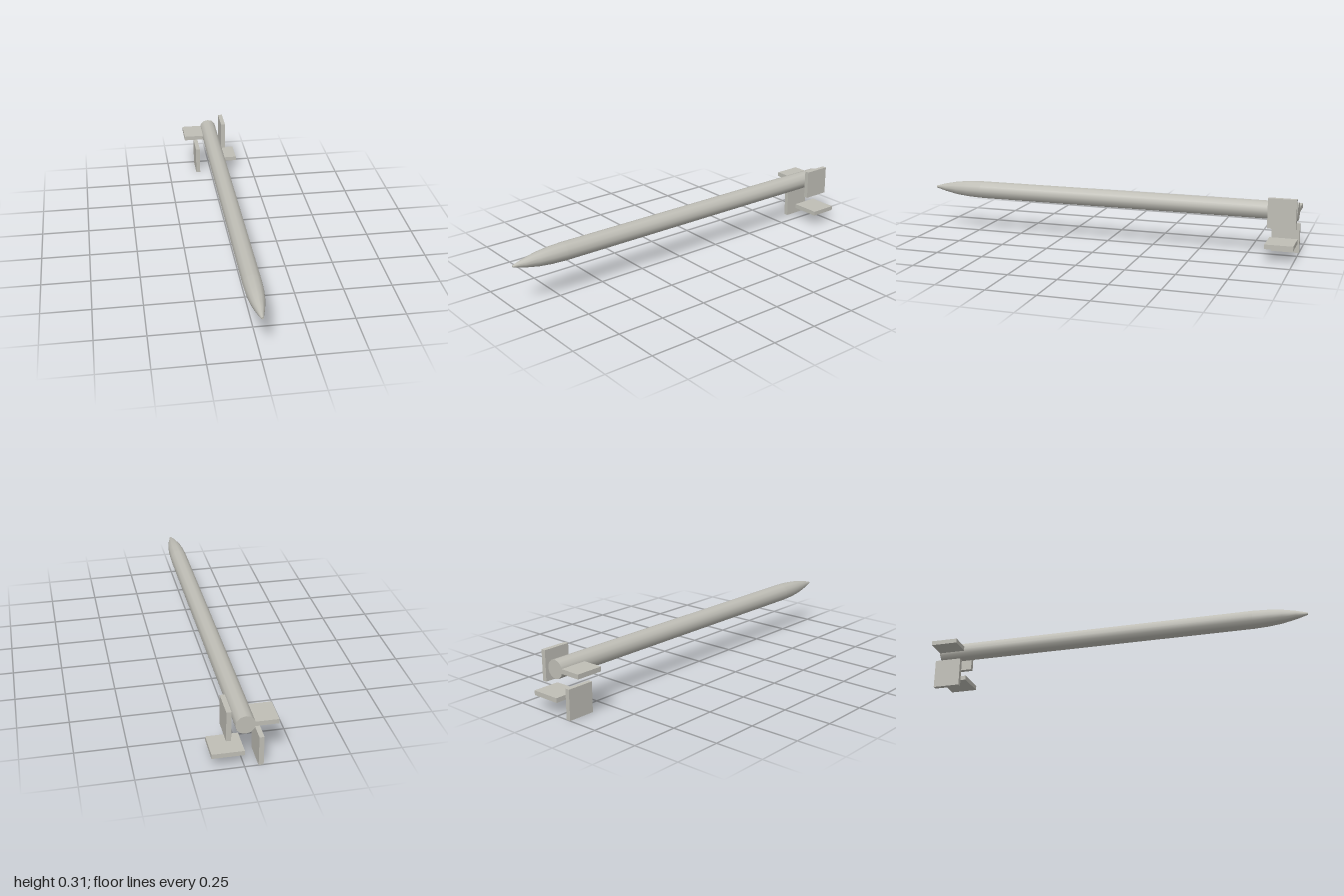
import * as THREE from 'three';

export function createModel() {
  const model = new THREE.Group();
  const grey = new THREE.MeshStandardMaterial({ color: 0xbfbeb6 });
  grey.name = 'warm grey';

  const sides = 12, axisY = 0.23, radius = 0.047, tipRadius = 0.006;
  const add = (name, geometry, parent = model) => {
    const mesh = new THREE.Mesh(geometry, grey);
    mesh.name = name;
    parent.add(mesh);
    return mesh;
  };
  // Surface of revolution along z, from [radius, z] pairs
  const revolve = (profile) => new THREE.LatheGeometry(
    profile.map(([r, z]) => new THREE.Vector2(r, z)), sides).rotateX(Math.PI / 2);

  // Straight tube and tapering nose
  add('bodyTube', revolve([[radius, -1], [radius, 0.72]])).position.y = axisY;
  add('noseCone', revolve([
    [radius, 0.72], [0.0435, 0.8], [0.036, 0.87], [0.022, 0.94], [tipRadius, 1],
  ])).position.y = axisY;

  // Flat end faces
  add('noseTip', new THREE.CircleGeometry(tipRadius, sides)).position.set(0, axisY, 1);
  const tail = add('tailCap', new THREE.CircleGeometry(radius, sides));
  tail.position.set(0, axisY, -1);
  tail.rotation.y = Math.PI;

  // Four plates in a pinwheel, each a quarter turn from the last
  const fins = new THREE.Group();
  fins.name = 'tailFins';
  fins.position.set(0, 0.1535, -0.929);
  const finNames = ['leftFin', 'upperFin', 'rightFin', 'lowerFin'];
  finNames.forEach((name, i) => {
    const pivot = new THREE.Group();
    pivot.rotation.z = i * Math.PI / 2;
    const fin = add(name, new THREE.BoxGeometry(0.0235, 0.153, 0.142), pivot);
    fin.position.set(0.0765, 0.077, 0);
    fins.add(pivot);
  });
  model.add(fins);

  return model;
}
